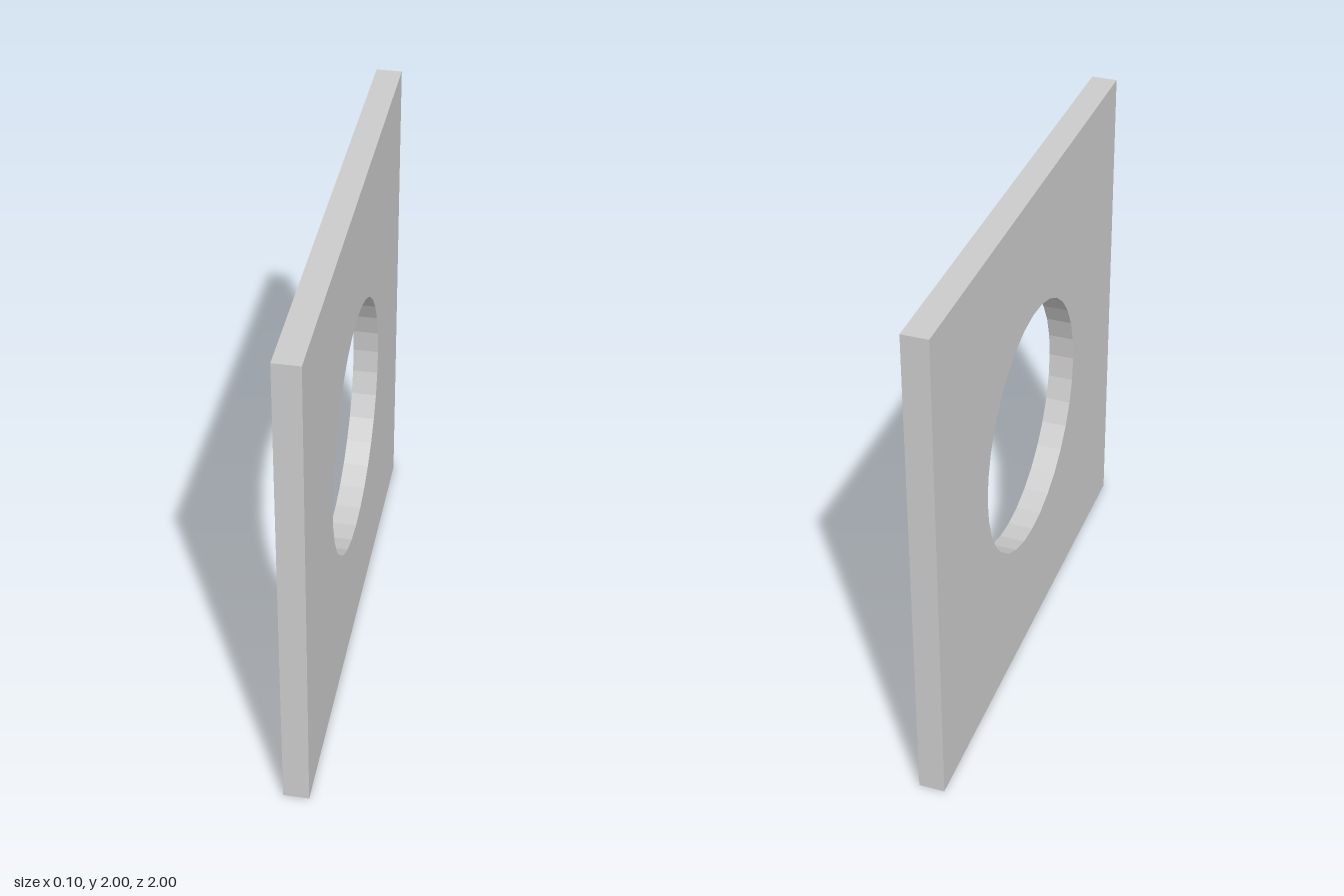
import * as THREE from 'three';

export function createModel() {
  const size = 2, thickness = 0.1, holeRadius = 0.5;
  const h = size / 2;

  // Square outline with a round opening in the middle
  const outline = new THREE.Shape([
    new THREE.Vector2(-h, -h),
    new THREE.Vector2(h, -h),
    new THREE.Vector2(h, h),
    new THREE.Vector2(-h, h),
  ]);
  outline.holes.push(new THREE.Path().absarc(0, 0, holeRadius, 0, Math.PI * 2, true));

  // Thin upright plate facing along x (arcs get twice curveSegments: 32 sides)
  const geometry = new THREE.ExtrudeGeometry(outline, {
    depth: thickness,
    bevelEnabled: false,
    curveSegments: 16,
  });
  geometry.translate(0, 0, -thickness / 2).rotateY(Math.PI / 2).translate(0, h, 0);

  const plate = new THREE.Mesh(
    geometry,
    new THREE.MeshStandardMaterial({ color: 0xcccccc, flatShading: true })
  );
  plate.name = 'plateWithRoundHole';

  const group = new THREE.Group();
  group.name = 'squarePlate';
  group.add(plate);
  return group;
}
